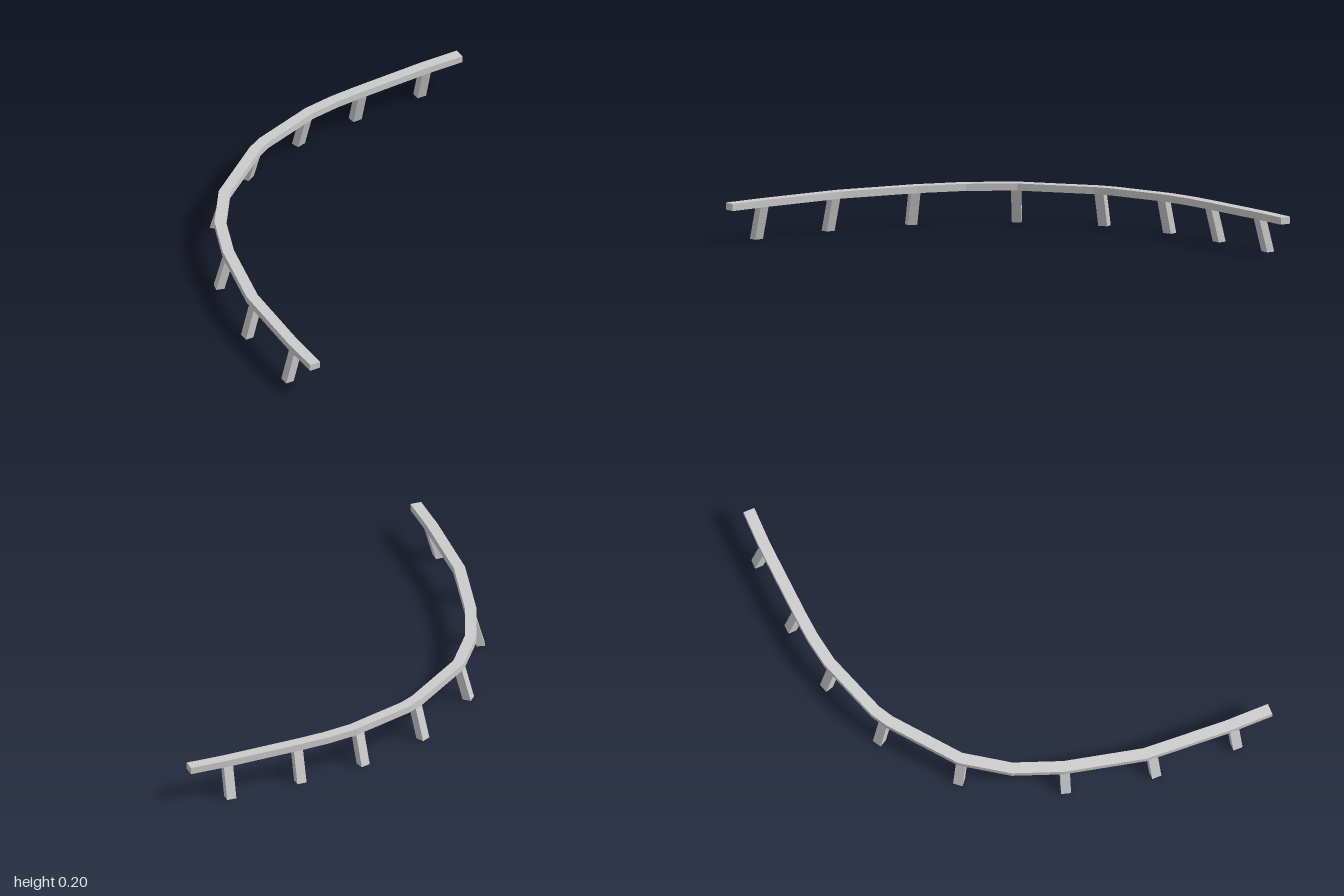
import * as THREE from 'three';

const material = new THREE.MeshStandardMaterial({ color: 0xcccccc, flatShading: true });

const RAIL_TOP = 0.2, RAIL_HEIGHT = 0.035, RAIL_WIDTH = 0.056;
const POST_TOP = 0.168, POST_WIDTH = 0.048, POST_DEPTH = 0.042;

// Centre line of the rail on the ground plane (x, z)
const path = [
  [0.99, -0.938], [0.795, -0.937], [0.4, -0.916], [0.265, -0.905], [0.115, -0.88],
  [-0.2, -0.772], [-0.275, -0.73], [-0.585, -0.487], [-0.73, -0.275], [-0.82, -0.04],
  [-0.91, 0.35], [-0.932, 0.775], [-0.932, 0.998],
].map(([x, z]) => new THREE.Vector2(x, z));

// Posts: point under the rail (x, z) and outward direction in degrees from -z towards -x
const posts = [
  [0.79, -0.937, 0], [0.42, -0.918, 2], [0.086, -0.874, 16], [-0.264, -0.75, 30],
  [-0.595, -0.483, 50], [-0.827, -0.038, 74], [-0.917, 0.383, 90], [-0.933, 0.803, 90],
];

// Mitred offset of the centre line to one side
function offsetPath(distance) {
  return path.map((p, i) => {
    const before = p.clone().sub(path[Math.max(i - 1, 0)]).normalize();
    const after = path[Math.min(i + 1, path.length - 1)].clone().sub(p).normalize();
    const along = before.clone().add(after).normalize();
    const cosHalf = along.dot(i === 0 ? after : before);
    return new THREE.Vector2(-along.y, along.x).multiplyScalar(distance / cosHalf).add(p);
  });
}

// Rail: constant-width band extruded vertically
function createRail() {
  const outline = [...offsetPath(RAIL_WIDTH / 2), ...offsetPath(-RAIL_WIDTH / 2).reverse()];
  const geometry = new THREE.ExtrudeGeometry(new THREE.Shape(outline), {
    depth: RAIL_HEIGHT, bevelEnabled: false,
  });
  geometry.rotateX(Math.PI / 2).translate(0, RAIL_TOP, 0);
  const rail = new THREE.Mesh(geometry, material);
  rail.name = 'rail';
  return rail;
}

// Post: box sheared so that its foot leans outwards (-z) with level ends
function createPostGeometry() {
  const geometry = new THREE.BoxGeometry(POST_WIDTH, POST_TOP, POST_DEPTH);
  geometry.translate(0, POST_TOP / 2, 0);
  const position = geometry.attributes.position;
  for (let i = 0; i < position.count; i++) {
    const t = position.getY(i) / POST_TOP;
    position.setZ(i, position.getZ(i) + THREE.MathUtils.lerp(-0.041, 0.006, t));
  }
  geometry.computeVertexNormals();
  return geometry;
}

export function createModel() {
  const model = new THREE.Group();
  model.name = 'curvedRailing';
  model.add(createRail());

  const postGeometry = createPostGeometry();
  posts.forEach(([x, z, angle], i) => {
    const post = new THREE.Mesh(postGeometry, material);
    post.name = `post${i + 1}`;
    post.position.set(x, 0, z);
    post.rotation.y = THREE.MathUtils.degToRad(angle);
    model.add(post);
  });
  return model;
}
